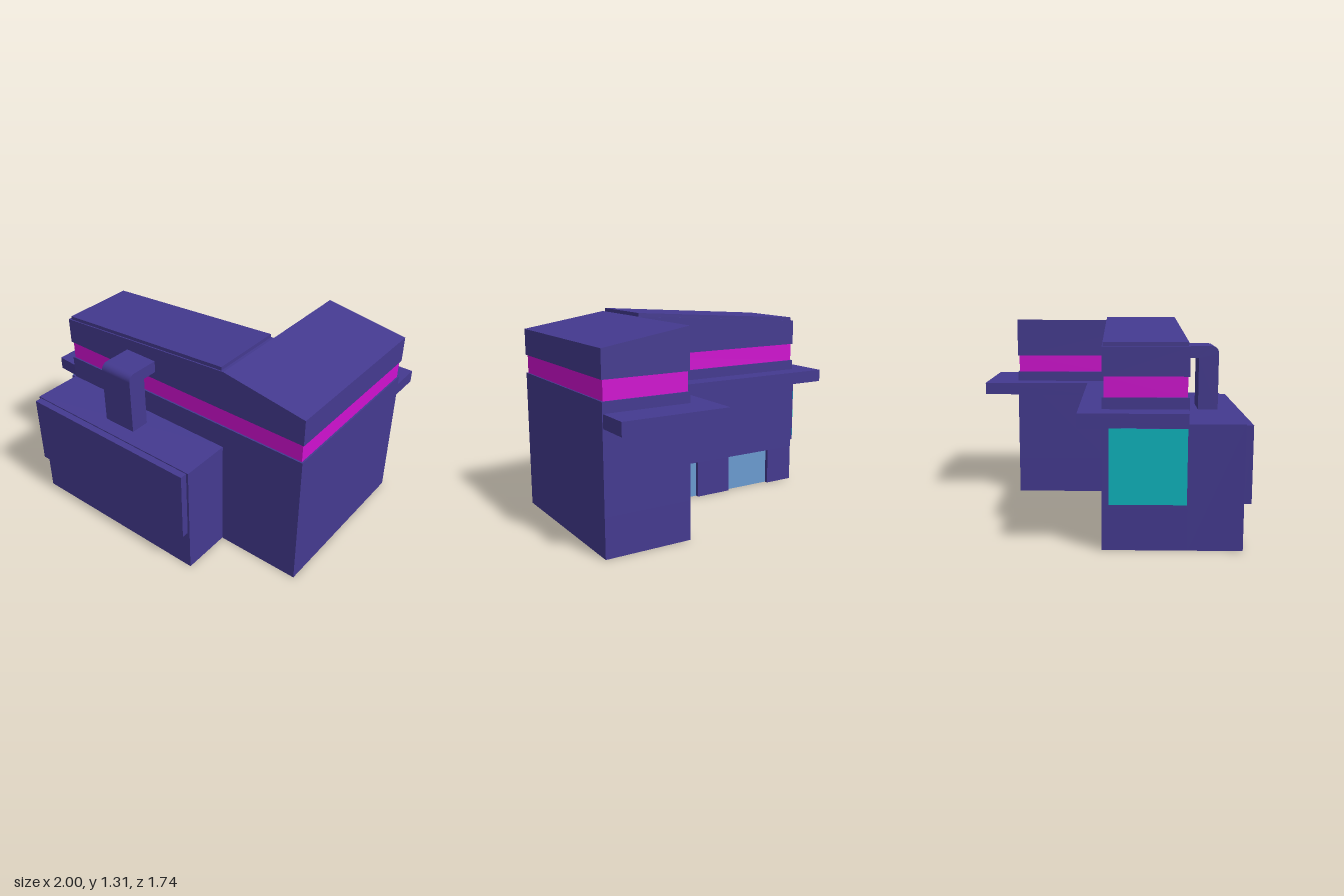
import * as THREE from 'three';

const mat = (color) => new THREE.MeshStandardMaterial({ color });

export function createModel() {
  const group = new THREE.Group();
  const wallMat = mat(0x443a90), bandMat = mat(0xd010d0);
  const doorMat = mat(0x6b9bd1), windowMat = mat(0x0cb4be);

  const add = (name, geo, material = wallMat) => {
    const mesh = new THREE.Mesh(geo, material);
    mesh.name = name;
    group.add(mesh);
    return mesh;
  };
  const shapeOf = (pts) => new THREE.Shape(pts.map(([a, b]) => new THREE.Vector2(a, b)));
  const box = (name, [x0, x1], [y0, y1], [z0, z1], material) =>
    add(name, new THREE.BoxGeometry(x1 - x0, y1 - y0, z1 - z0)
      .translate((x0 + x1) / 2, (y0 + y1) / 2, (z0 + z1) / 2), material);

  // Floor plan given as [x, z], raised from y0 to y1
  const slab = (name, plan, y0, y1, material) =>
    add(name, new THREE.ExtrudeGeometry(shapeOf(plan.map(([x, z]) => [x, -z])),
      { depth: y1 - y0, bevelEnabled: false }).rotateX(-Math.PI / 2).translate(0, y0, 0), material);

  // Elevation given as [x, y], run from z0 to z1
  const run = (name, profile, z0, z1) =>
    add(name, new THREE.ExtrudeGeometry(shapeOf(profile),
      { depth: z1 - z0, bevelEnabled: false }).translate(0, 0, z0));

  // L-shaped plan, optionally inset, with optional notches in the back wall
  const plan = (inset = 0, notches = []) => [
    [-0.85 + inset, 0.5 - inset], [1 - inset, 0.5 - inset],
    [1 - inset, -0.65 + inset], [0.44 + inset, -0.65 + inset], [0.44 + inset, inset],
    ...notches.flatMap(([a, b]) => [[b, 0], [b, 0.03], [a, 0.03], [a, 0]]),
    [-0.85 + inset, inset],
  ];

  // Main body with two doorways recessed into the back wall
  const doors = [[-0.03, 0.33], [-0.64, -0.29]];
  slab('lowerWalls', plan(0, doors), 0, 0.25);
  slab('upperWalls', plan(), 0.25, 0.905);
  doors.forEach(([a, b]) => box('door', [a, b], [0, 0.25], [0.026, 0.034], doorMat));

  // Coloured band
  slab('band', plan(0.01), 0.905, 1.025, bandMat);

  // Top storey: both wings slope away from a ridge
  run('longWingRoof', [[-0.85, 1.025], [0.44, 1.025], [0.44, 1.285], [-0.85, 1.195]], 0, 0.5);
  run('crossWingRoof', [[0.44, 1.025], [1, 1.025], [1, 1.195], [0.44, 1.285]], -0.65, 0.5);
  run('roofPanel', [[-0.83, 1.19], [0.42, 1.27], [0.42, 1.307], [-0.83, 1.219]], 0.005, 0.492);

  // Canopy around the back
  slab('canopy', [
    [-1, 0.487], [-0.84, 0.496], [-0.84, 0.01], [0.45, 0.01], [0.45, -0.64],
    [0.995, -0.64], [0.995, -0.87], [0.31, -0.87], [0.31, -0.135], [-1, -0.135],
  ], 0.755, 0.838);

  // Front annex and its raised panel
  box('annex', [-0.85, 0.44], [0, 0.752], [0.5, 0.825]);
  box('annexPanel', [-0.835, 0.425], [0.28, 0.745], [0.82, 0.87]);

  // Side window box with coloured pane
  box('windowBox', [-0.898, -0.845], [0.29, 0.735], [0.04, 0.49]);
  box('windowPane', [-0.9, -0.898], [0.29, 0.735], [0.04, 0.49], windowMat);

  // Bent duct from the annex top into the front wall, drawn as [z, y]
  const duct = new THREE.Shape();
  duct.moveTo(0.49, 1.08);
  duct.lineTo(0.6, 1.08);
  duct.lineTo(0.6, 0.745);
  duct.lineTo(0.725, 0.745);
  duct.lineTo(0.725, 1.11);
  duct.absarc(0.68, 1.112, 0.045, 0, Math.PI / 2, false);
  duct.lineTo(0.49, 1.157);
  add('duct', new THREE.ExtrudeGeometry(duct, { depth: 0.23, bevelEnabled: false, curveSegments: 6 })
    .rotateY(-Math.PI / 2).translate(-0.09, 0, 0));

  return group;
}
